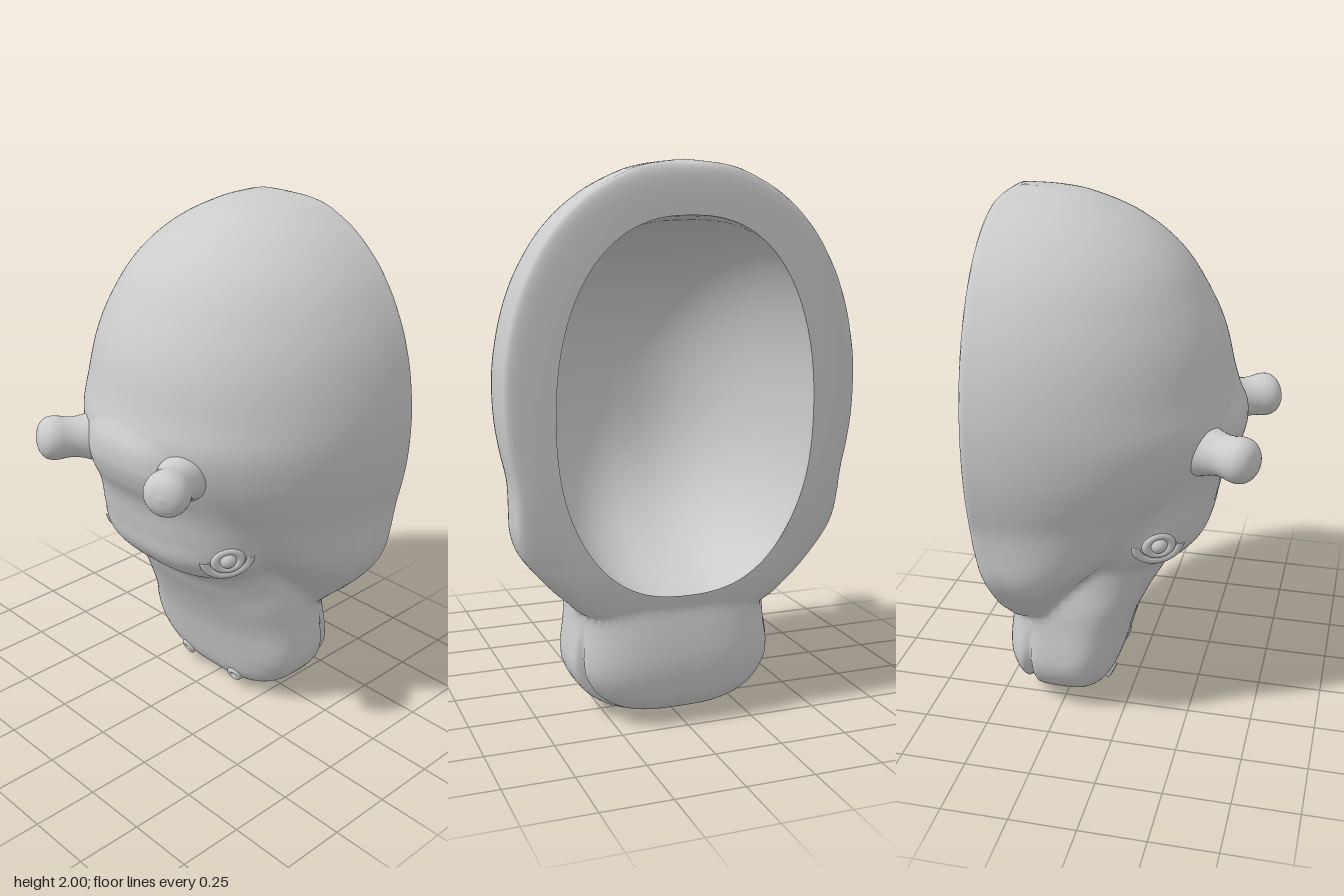
import * as THREE from 'three';
import { mergeVertices } from 'three/addons/utils/BufferGeometryUtils.js';

// Profile rows: height, half width, front z, back z
const SKULL = [
  [0.34, 0.02, -0.28, -0.42], [0.4, 0.31, -0.25, -0.455], [0.48, 0.425, -0.2, -0.485], [0.57, 0.515, -0.12, -0.497],
  [0.65, 0.575, -0.03, -0.501], [0.72, 0.6, 0.06, -0.501], [0.8, 0.605, 0.15, -0.501], [0.9, 0.61, 0.24, -0.501],
  [1.0, 0.63, 0.31, -0.501], [1.1, 0.645, 0.36, -0.501], [1.22, 0.65, 0.385, -0.501], [1.34, 0.643, 0.355, -0.501],
  [1.5, 0.61, 0.315, -0.501], [1.64, 0.555, 0.25, -0.501], [1.78, 0.465, 0.155, -0.501], [1.89, 0.345, 0.02, -0.501],
  [1.96, 0.215, -0.13, -0.495], [1.985, 0.13, -0.23, -0.478], [2.0, 0.01, -0.37, -0.43],
];
const FACE = [
  [0, 0.06, -0.19, -0.28], [0.02, 0.18, -0.14, -0.37], [0.05, 0.26, -0.1, -0.43], [0.1, 0.33, -0.07, -0.47],
  [0.18, 0.38, -0.045, -0.492], [0.25, 0.388, -0.025, -0.495], [0.34, 0.372, 0.005, -0.485], [0.46, 0.362, 0.06, -0.465],
  [0.55, 0.345, 0.11, -0.46], [0.64, 0.345, 0.165, -0.46], [0.68, 0.365, 0.225, -0.46], [0.75, 0.395, 0.28, -0.46],
  [0.84, 0.4, 0.302, -0.46], [0.98, 0.38, 0.335, -0.46], [1.07, 0.36, 0.38, -0.46], [1.15, 0.335, 0.4, -0.46],
  [1.24, 0.28, 0.375, -0.46], [1.32, 0.15, 0.27, -0.46], [1.38, 0.02, 0, -0.46],
];
const { lerp, smoothstep } = THREE.MathUtils;

// Smooth interpolation of one profile column
function sample(table, y, col) {
  let i = 0;
  while (i < table.length - 2 && table[i + 1][0] < y) i++;
  const slope = (k) => {
    const a = table[Math.max(k - 1, 0)], b = table[Math.min(k + 1, table.length - 1)];
    return (b[col] - a[col]) / (b[0] - a[0]);
  };
  const p = table[i], q = table[i + 1], h = q[0] - p[0], t = (y - p[0]) / h, t2 = t * t, t3 = t2 * t;
  return (2 * t3 - 3 * t2 + 1) * p[col] + (t3 - 2 * t2 + t) * h * slope(i)
    + (3 * t2 - 2 * t3) * q[col] + (t3 - t2) * h * slope(i + 1);
}

// Below zero inside a stack of rounded sections
function field(table, x, y, z, mid, power, backPower) {
  if (y < table[0][0] || y > table[table.length - 1][0]) return 2;
  const w = Math.max(sample(table, y, 1), 0.01);
  const depth = Math.max(z > mid ? sample(table, y, 2) - mid : mid - sample(table, y, 3), 0.01);
  const side = (Math.abs(x) / w) ** power;
  return Math.sqrt(side + (Math.abs(z - mid) / depth) ** (z > mid ? power : backPower)) - 1;
}

function headField(x, y, z) {
  const jaw = 1 - smoothstep(y, 0.6, 0.95); // the jaw rounds off more softly behind
  const a = field(SKULL, x, y, z, lerp(-0.4, -0.32, jaw), 2, lerp(14, 6, jaw));
  const b = field(FACE, x, y, z, -0.24, 2.9, 3);
  const k = 0.1, h = Math.max(k - Math.abs(a - b), 0) / k;
  return Math.min(a, b) - h * h * k / 4;
}

// Outermost surface point along a ray from the head centre
const CENTRE = new THREE.Vector3(0, 1, -0.2);
function surfacePoint(dir) {
  const inside = (r) => headField(CENTRE.x + dir.x * r, CENTRE.y + dir.y * r, CENTRE.z + dir.z * r) < 0;
  let hi = 1.2;
  while (hi > 0.05 && !inside(hi)) hi -= 0.012;
  let lo = hi;
  hi += 0.012;
  for (let n = 0; n < 14; n++) {
    const m = (lo + hi) / 2;
    if (inside(m)) lo = m; else hi = m;
  }
  const p = dir.clone().multiplyScalar(lo).add(CENTRE);
  // mouth slit across the end of the muzzle
  const slit = Math.exp(-(((p.z + 0.37) / 0.014) ** 2)) * smoothstep(0.36 - p.y, 0, 0.12);
  return p.addScaledVector(dir, -0.05 * slit);
}
const onSurface = (x, y, z) => surfacePoint(new THREE.Vector3(x, y, z).sub(CENTRE).normalize());

// Skin over a list of closed rings
function loft(rings) {
  const n = rings[0].length, index = [];
  for (let i = 0; i < rings.length - 1; i++) {
    for (let j = 0; j < n; j++) {
      const k = (j + 1) % n, a = i * n, b = a + n;
      index.push(a + j, b + j, b + k, a + j, b + k, a + k);
    }
  }
  const g = new THREE.BufferGeometry().setFromPoints(rings.flat());
  g.setIndex(index);
  const merged = mergeVertices(g, 1e-5);
  merged.computeVertexNormals();
  return merged;
}

export function createModel() {
  const group = new THREE.Group();
  const material = new THREE.MeshStandardMaterial({ color: 0xcccccc });
  const add = (name, geometry, parent = group) => {
    const mesh = new THREE.Mesh(geometry, material);
    mesh.name = name;
    parent.add(mesh);
    return mesh;
  };
  const AROUND = 200, STEPS = 170;

  // Egg-shaped outline of the hollow at the back
  const hollow = (s, z) => Array.from({ length: AROUND }, (_, j) => {
    const a = (j / AROUND) * Math.PI * 2, c = Math.cos(a), q = Math.sin(a);
    const x = Math.sign(c) * Math.abs(c) ** 0.8 * 0.485, y = Math.sign(q) * Math.abs(q) ** 0.92 * 0.675;
    return new THREE.Vector3(x * s, 1.135 + y * s, z);
  });

  // Skull, cheeks, muzzle and back rim in one skin, from the brow round to the opening
  const opening = hollow(1, -0.5).map((p) => {
    const d = p.sub(CENTRE).normalize();
    return { turn: Math.atan2(d.y, d.x), tilt: Math.acos(d.z) };
  });
  const outer = [];
  for (let i = 0; i <= STEPS; i++) {
    outer.push(opening.map(({ turn, tilt }) => {
      const t = (i / STEPS) * tilt;
      return surfacePoint(new THREE.Vector3(
        Math.sin(t) * Math.cos(turn), Math.sin(t) * Math.sin(turn), Math.cos(t)));
    }));
  }
  add('head', loft(outer));

  // Bowl of the hollow
  const inner = [outer[STEPS]];
  for (let i = 1; i <= 40; i++) {
    const t = (i / 40) * Math.PI / 2;
    inner.push(hollow(Math.max(Math.cos(t), 0) ** 0.8, -0.48 + 0.67 * Math.sin(t)));
  }
  add('hollow', loft(inner));

  // Stubby ear rooted in the brow
  const earProfile = new THREE.SplineCurve([
    [0.11, -0.05], [0.09, 0.0], [0.078, 0.05], [0.078, 0.09], [0.084, 0.13], [0.077, 0.165], [0.048, 0.192], [0, 0.203],
  ].map(([x, y]) => new THREE.Vector2(x, y))).getPoints(28);
  earProfile.forEach((p) => { p.x = Math.max(p.x, 0); });
  const up = new THREE.Vector3(0, 1, 0), front = new THREE.Vector3(0, 0, 1);

  for (const side of [1, -1]) {
    const label = side > 0 ? 'left' : 'right';
    const ear = add(label + 'Ear', new THREE.LatheGeometry(earProfile, 32));
    ear.position.set(side * 0.255, 1.14, 0.312);
    ear.quaternion.setFromUnitVectors(up, new THREE.Vector3(side * 0.48, 0.04, 0.87).normalize());

    // Eye set into its lids, with a bag below
    const eye = new THREE.Group();
    eye.name = label + 'Eye';
    eye.position.copy(onSurface(side * 0.375, 0.75, 0.19));
    eye.quaternion.setFromUnitVectors(front, new THREE.Vector3(side * 0.85, -0.1, 0.5).normalize());
    group.add(eye);
    add('eyeball', new THREE.SphereGeometry(0.034, 24, 16), eye).position.z = -0.012;
    const lids = add('eyelids', new THREE.TorusGeometry(0.042, 0.016, 12, 32), eye);
    lids.scale.set(1.15, 0.95, 1);
    lids.position.z = -0.008;
    const bag = add('eyeBag', new THREE.TorusGeometry(0.078, 0.018, 12, 32, Math.PI), eye);
    bag.scale.set(1.1, 0.9, 0.8);
    bag.position.z = -0.018;
    bag.rotation.z = Math.PI;

    // Nostril
    const nostril = add(label + 'Nostril', new THREE.TorusGeometry(0.022, 0.013, 12, 24));
    nostril.position.copy(onSurface(side * 0.14, 0.065, -0.09));
    nostril.quaternion.setFromUnitVectors(front, new THREE.Vector3(side * 0.1, -0.4, 0.9).normalize());
  }
  return group;
}
